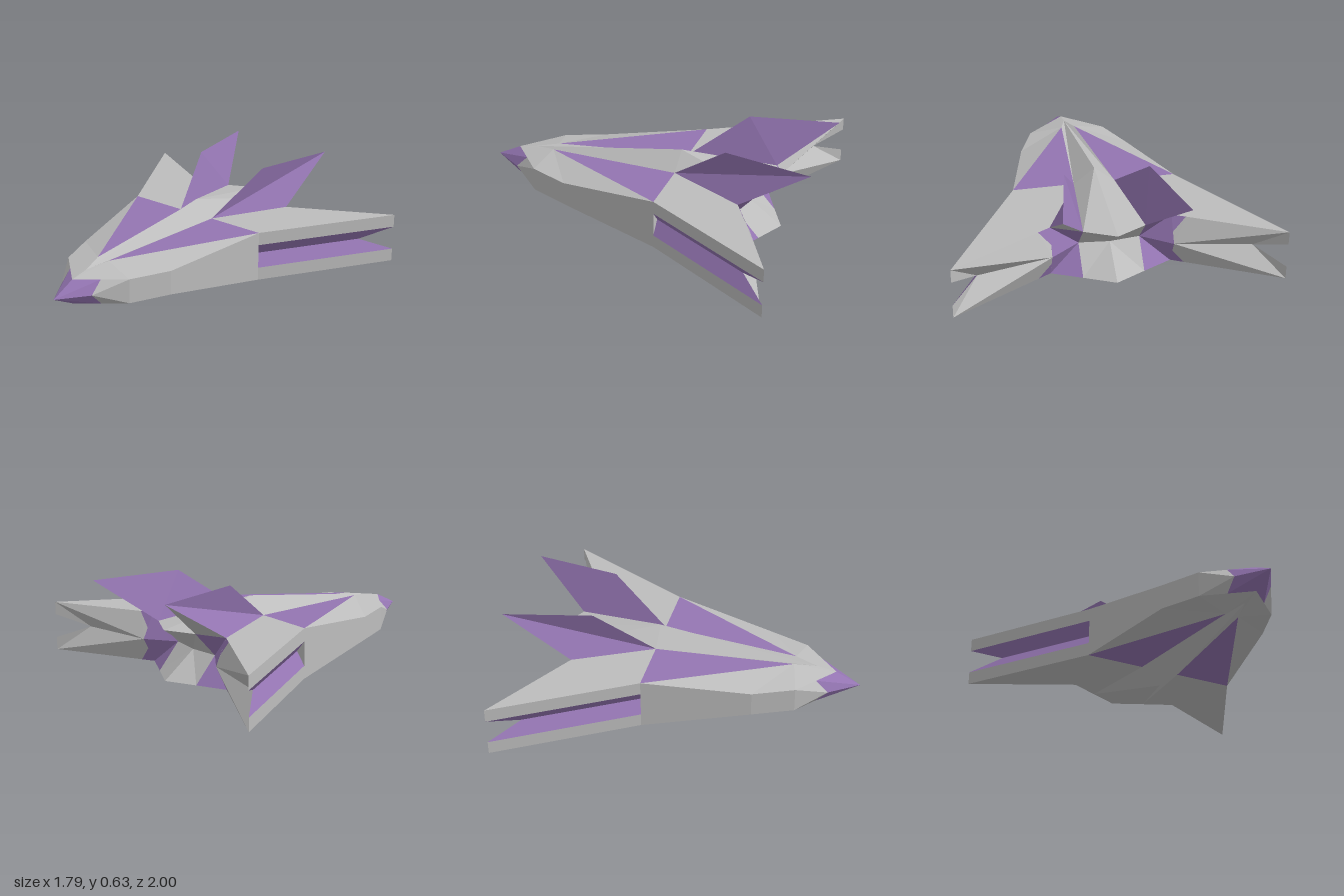
import * as THREE from 'three';

const MID = 0.24; // height of the hull's horizontal symmetry plane

export function createModel() {
  const grey = new THREE.MeshStandardMaterial({ color: 0xbdbdbd });
  const purple = new THREE.MeshStandardMaterial({ color: 0x9475b2 });
  grey.name = 'hull grey';
  purple.name = 'accent purple';
  const model = new THREE.Group();
  model.name = 'spacecraft';

  // Adds a flat panel as a triangle fan; each triangle faces the outward hint
  function addPanel(out, pts, hint) {
    const h = new THREE.Vector3(...hint);
    for (let i = 1; i < pts.length - 1; i++) {
      const [a, b, c] = [pts[0], pts[i], pts[i + 1]].map(p => new THREE.Vector3(...p));
      const n = b.clone().sub(a).cross(c.clone().sub(a));
      const tri = n.dot(h) < 0 ? [a, c, b] : [a, b, c];
      tri.forEach(v => out.push(v.x, v.y, v.z));
    }
  }

  // Builds a part from right-hand panels, mirrored across x and optionally across the mid plane
  function part(name, material, panels, mirrorY = true) {
    const out = [];
    for (const [pts, hint] of panels)
      for (const sx of [1, -1])
        for (const sy of mirrorY ? [1, -1] : [1])
          addPanel(out,
            pts.map(([x, y, z]) => [sx * x, MID + sy * (y - MID), z]),
            [sx * hint[0], sy * hint[1], hint[2]]);
    const g = new THREE.BufferGeometry();
    g.setAttribute('position', new THREE.Float32BufferAttribute(out, 3));
    g.computeVertexNormals();
    const mesh = new THREE.Mesh(g, material);
    mesh.name = name;
    model.add(mesh);
  }

  const at = (p, y) => [p[0], y, p[2]];
  const up = [0, 1, 0], side = [1, 0, 0.3], back = [0, -0.3, -1];

  // Nose
  const tip = [0, MID, 1], noseTop = [0, 0.31, 0.86];
  const noseMid = [0.115, MID, 0.83], noseMidTop = [0.115, 0.31, 0.76];
  // Hull edge
  const b1 = [0.23, 0.31, 0.66], b2 = [0.325, 0.31, 0.43], b3 = [0.465, 0.385, -0.17];
  // Spine
  const ridgeStart = [0, 0.332, 0.75], ridgeTop = [0, 0.477, -0.17];
  const spineFront = [0.04, 0.352, 0.62], spineBase = [0.118, 0.385, -0.17];
  // Wing and tail edge
  const wingTip = [0.897, 0.385, -0.917], notch = [0.404, MID, -0.17];
  const tailOut = [0.335, 0.385, -0.61], tailIn = [0.17, 0.385, -0.69], tailEnd = [0, 0.385, -0.775];
  // Rear groove floor
  const m1 = [0.75, MID, -0.77], m2 = [0.335, MID, -0.68], m3 = [0.17, MID, -0.56], m4 = [0, MID, -0.58];
  const k = [0.405, 0.385, -0.648], j = [0.335, 0.3, -0.65];

  part('noseTip', purple, [[[tip, noseMid, noseMidTop, noseTop], [0.5, 0.5, 1]]]);
  part('noseSides', grey, [[[noseMid, at(b1, MID), b1, noseMidTop], [1, 0.3, 1]]]);
  part('noseDeck', grey, [[[noseTop, b1, spineFront, ridgeStart], up]]);

  part('hullSides', grey, [
    [[b1, at(b1, MID), at(b2, MID), b2], side],
    [[b2, at(b2, MID), at(b3, MID), b3], side],
    [[at(b3, 0.31), notch, at(b3, MID)], [0, 0, -1]],
  ]);
  part('hullDeck', grey, [[[spineFront, b1, b2, b3], up]]);
  part('deckPanels', purple, [[[spineFront, b3, spineBase], up]]);
  part('spine', grey, [
    [[ridgeStart, spineFront, spineBase, ridgeTop], up],
    [[ridgeTop, spineBase, tailIn], up],
    [[ridgeTop, tailIn, tailEnd], up],
  ]);

  // Paired swept wings with a groove between the upper and lower blades
  part('wings', grey, [
    [[tailOut, spineBase, b3, wingTip], up],
    [[spineBase, tailOut, tailIn], up],
    [[b3, wingTip, at(wingTip, 0.31), at(b3, 0.31)], side],
  ]);
  part('wingGrooves', purple, [
    [[at(b3, 0.31), at(wingTip, 0.31), m1, notch], side],
  ]);

  // Recessed tail
  part('wingRear', grey, [
    [[wingTip, at(wingTip, 0.31), m1], back],
    [[wingTip, m1, m2], back],
    [[m2, wingTip, k], back],
    [[k, m2, j], back],
  ]);
  part('tailPanels', purple, [
    [[k, j, tailOut], back],
    [[tailOut, j, m2], back],
    [[tailOut, m2, m3, tailIn], back],
  ]);
  part('engineRecess', grey, [[[tailIn, m3, m4, tailEnd], back]]);

  // Twin tail fins
  const finFront = [0.235, 0.635, -0.5], finBack = [0.335, 0.635, -1];
  part('finSides', purple, [
    [[spineBase, finFront, finBack, tailOut], [1, 0.4, 0]],
    [[finFront, spineBase, tailIn, finBack], [-1, 0.2, 0]],
  ], false);
  part('finBacks', grey, [[[tailOut, finBack, tailIn], [0, -0.5, -1]]], false);

  return model;
}
